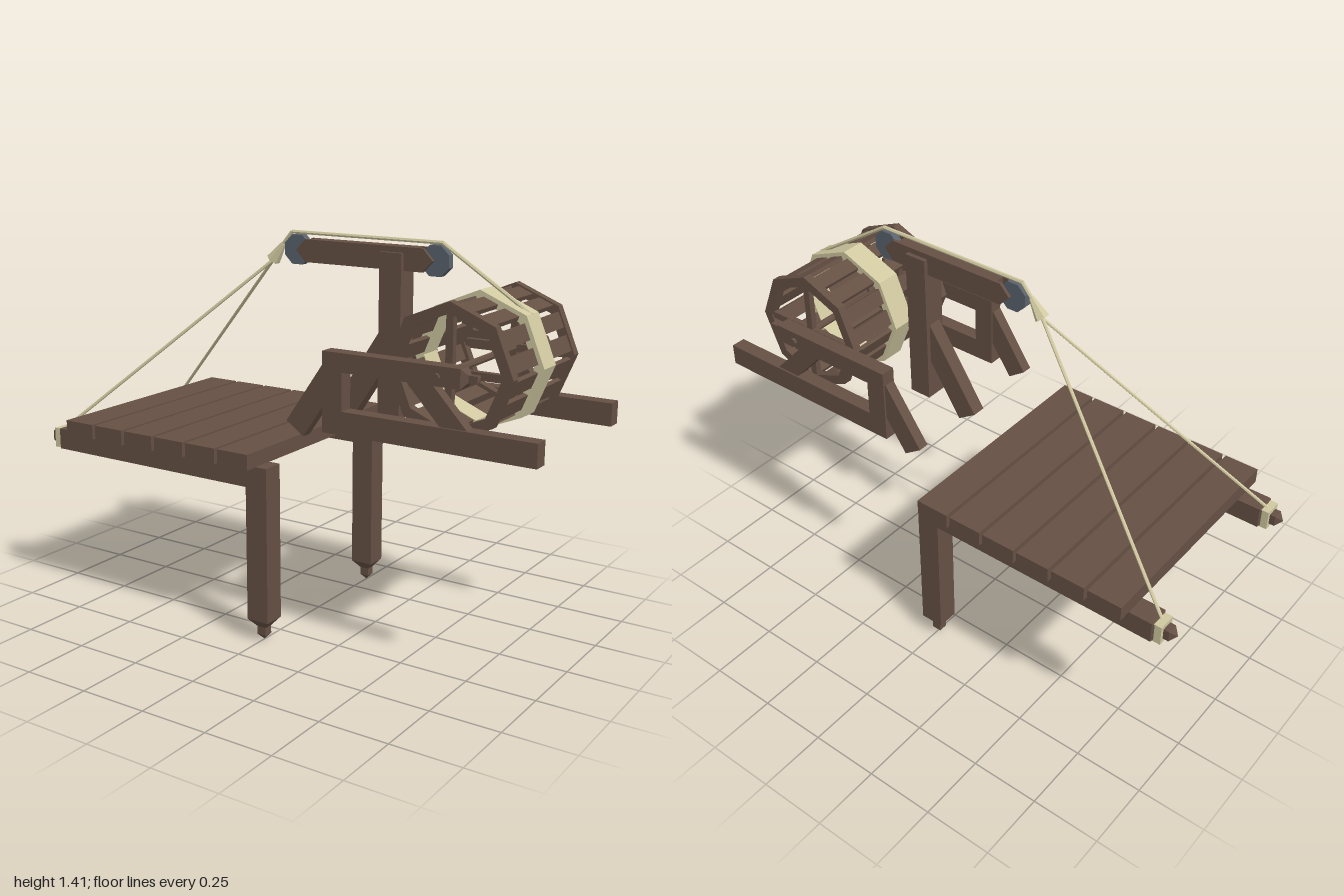
import * as THREE from 'three';

const mat = (color) => new THREE.MeshStandardMaterial({ color, flatShading: true });
const WOOD = mat(0x655044), ROPE = mat(0xd0c8a0), METAL = mat(0x5a626c);
const V = (x, y, z) => new THREE.Vector3(x, y, z);

export function createModel() {
  const model = new THREE.Group();

  const add = (name, geo, material, parent = model) => {
    const m = new THREE.Mesh(geo, material);
    m.name = name;
    parent.add(m);
    return m;
  };
  // box given by its limits on each axis
  const box = (name, x0, x1, y0, y1, z0, z1, material = WOOD) => {
    const m = add(name, new THREE.BoxGeometry(x1 - x0, y1 - y0, z1 - z0), material);
    m.position.set((x0 + x1) / 2, (y0 + y1) / 2, (z0 + z1) / 2);
    return m;
  };
  // slanted timber between two points in a plane of constant z
  const strut = (name, x0, y0, x1, y1, z, w, d) => {
    const dx = x1 - x0, dy = y1 - y0;
    const m = add(name, new THREE.BoxGeometry(w, Math.hypot(dx, dy), d), WOOD);
    m.position.set((x0 + x1) / 2, (y0 + y1) / 2, z);
    m.rotation.z = Math.atan2(-dx, dy);
    return m;
  };
  // round bar between two points
  const rod = (name, a, b, r0, r1, sides, material) => {
    const dir = b.clone().sub(a);
    const m = add(name, new THREE.CylinderGeometry(r1, r0, dir.length(), sides), material);
    m.position.copy(a).lerp(b, 0.5);
    m.quaternion.setFromUnitVectors(V(0, 1, 0), dir.normalize());
    return m;
  };
  // square profile of [half width, height] pairs, depth scaled in z
  const squareTip = (name, points, zScale = 1) => {
    const pts = points.map(([r, y]) => new THREE.Vector2(r * Math.SQRT2, y));
    const geo = new THREE.LatheGeometry(pts, 4).rotateY(Math.PI / 4).scale(1, 1, zScale);
    return add(name, geo, WOOD);
  };
  // octagonal ring centred on z, corners on the axes
  const octagon = (r) => Array.from({ length: 8 }, (_, i) =>
    new THREE.Vector2(r * Math.cos(i * Math.PI / 4), r * Math.sin(i * Math.PI / 4)));
  const ring = (name, outer, inner, width, material) => {
    const shape = new THREE.Shape(octagon(outer));
    shape.holes.push(new THREE.Path(octagon(inner)));
    const geo = new THREE.ExtrudeGeometry(shape, { depth: width, bevelEnabled: false });
    return add(name, geo.translate(0, 0, -width / 2), material);
  };

  // deck planks
  for (let i = 0; i < 6; i++) {
    const x = -0.834 + i * 0.141;
    box('deckPlank', x, x + 0.128, 0.645, 0.7, -0.433, 0.433);
  }

  const knotEnd = V(-0.195, 1.295, 0);
  for (const s of [-1, 1]) {
    // deck beams, legs and their pegs
    const z = 0.345 * s;
    box('deckBeam', -0.92, -0.045, 0.567, 0.645, z - 0.04, z + 0.04);
    box('leg', -0.045, 0.042, 0.08, 0.645, z - 0.04, z + 0.04);
    squareTip('legPeg', [[0, 0], [0.018, 0.02], [0.018, 0.05], [0.043, 0.08]], 0.93)
      .position.set(-0.002, 0, z);
    const tip = squareTip('beamPeg', [[0, 0], [0.02, 0.022], [0.02, 0.055], [0.039, 0.075]]);
    tip.rotation.z = -Math.PI / 2;
    tip.position.set(-0.995, 0.606, z);

    // rope tied round the beam peg and rising to the knot
    box('ropeLoop', -0.952, -0.924, 0.568, 0.642, z - 0.033, z + 0.033, ROPE);
    rod('deckRope', V(-0.94, 0.63, z), knotEnd, 0.006, 0.006, 6, ROPE);

    // side frames carrying the drum
    const c = 0.298 * s, h = 0.027;
    box('frameBottomRail', 0.23, 1, 0.79, 0.87, c - h, c + h);
    box('framePost', 0.23, 0.305, 0.87, 1.0, c - h, c + h);
    box('frameTopRail', 0.23, 0.735, 1.0, 1.065, c - h, c + h);
    const peg = squareTip('railPeg', [[0, 0], [0.012, 0.004], [0.012, 0.035], [0.032, 0.055]], 0.84);
    peg.rotation.z = Math.PI / 2;
    peg.position.set(0.79, 1.032, c);
    strut('frameDiagonal', 0.57, 1.02, 0.74, 0.84, c, 0.07, 0.04);
    strut('frameBrace', 0.115, 0.785, 0.26, 0.995, c, 0.082, 0.04);
  }

  // mast with its brace
  box('mast', 0.273, 0.358, 0.79, 1.36, -0.043, 0.043);
  strut('mastBrace', 0.11, 0.768, 0.318, 1.086, 0, 0.085, 0.052);

  // forked arm: solid core between two pointed cheeks
  box('armCore', -0.02, 0.41, 1.3, 1.38, -0.015, 0.015);
  const cheek = new THREE.Shape([[-0.078, 1.34], [-0.04, 1.3], [0.43, 1.3], [0.468, 1.34],
    [0.43, 1.38], [-0.04, 1.38]].map(([x, y]) => new THREE.Vector2(x, y)));
  for (const z of [-0.027, 0.015]) {
    add('armCheek', new THREE.ExtrudeGeometry(cheek, { depth: 0.012, bevelEnabled: false }), WOOD)
      .position.z = z;
  }

  // pulleys in the forks
  for (const x of [-0.082, 0.47]) {
    const pulley = add('pulley', new THREE.CylinderGeometry(0.056, 0.056, 0.028, 8)
      .rotateY(Math.PI / 8).rotateX(Math.PI / 2), METAL);
    pulley.position.set(x, 1.34, 0);
  }

  // hoisting rope, over the pulleys to the drum
  rod('knot', knotEnd, V(-0.15, 1.355, 0), 0.026, 0.01, 6, ROPE);
  const line = [V(-0.155, 1.35, 0), V(-0.112, 1.4, 0), V(0.49, 1.4, 0), V(0.815, 1.193, 0)];
  for (let i = 0; i < 3; i++) rod('hoistRope', line[i], line[i + 1], 0.007, 0.007, 6, ROPE);

  // winding drum
  const drum = new THREE.Group();
  drum.name = 'drum';
  drum.position.set(0.653, 1.03, 0);
  model.add(drum);
  for (const s of [-1, 1]) {
    const rim = ring('drumRim', 0.226, 0.188, 0.032, WOOD);
    rim.position.z = 0.235 * s;
    drum.add(rim);
    // crossed spokes
    for (const size of [[0.026, 0.39], [0.39, 0.026]]) {
      add('drumSpoke', new THREE.BoxGeometry(size[0], size[1], 0.022), WOOD, drum)
        .position.z = 0.235 * s;
    }
  }
  // two slats on each of the eight sides
  for (let i = 0; i < 8; i++) {
    const a = (i + 0.5) * Math.PI / 4;
    for (const t of [-0.041, 0.041]) {
      const slat = add('drumSlat', new THREE.BoxGeometry(0.016, 0.056, 0.44), WOOD, drum);
      slat.position.set(0.195 * Math.cos(a) - t * Math.sin(a), 0.195 * Math.sin(a) + t * Math.cos(a), 0);
      slat.rotation.z = a;
    }
  }
  drum.add(ring('woundRope', 0.235, 0.2, 0.09, ROPE));
  add('axle', new THREE.CylinderGeometry(0.013, 0.013, 0.67, 8).rotateX(Math.PI / 2), WOOD, drum);

  return model;
}
